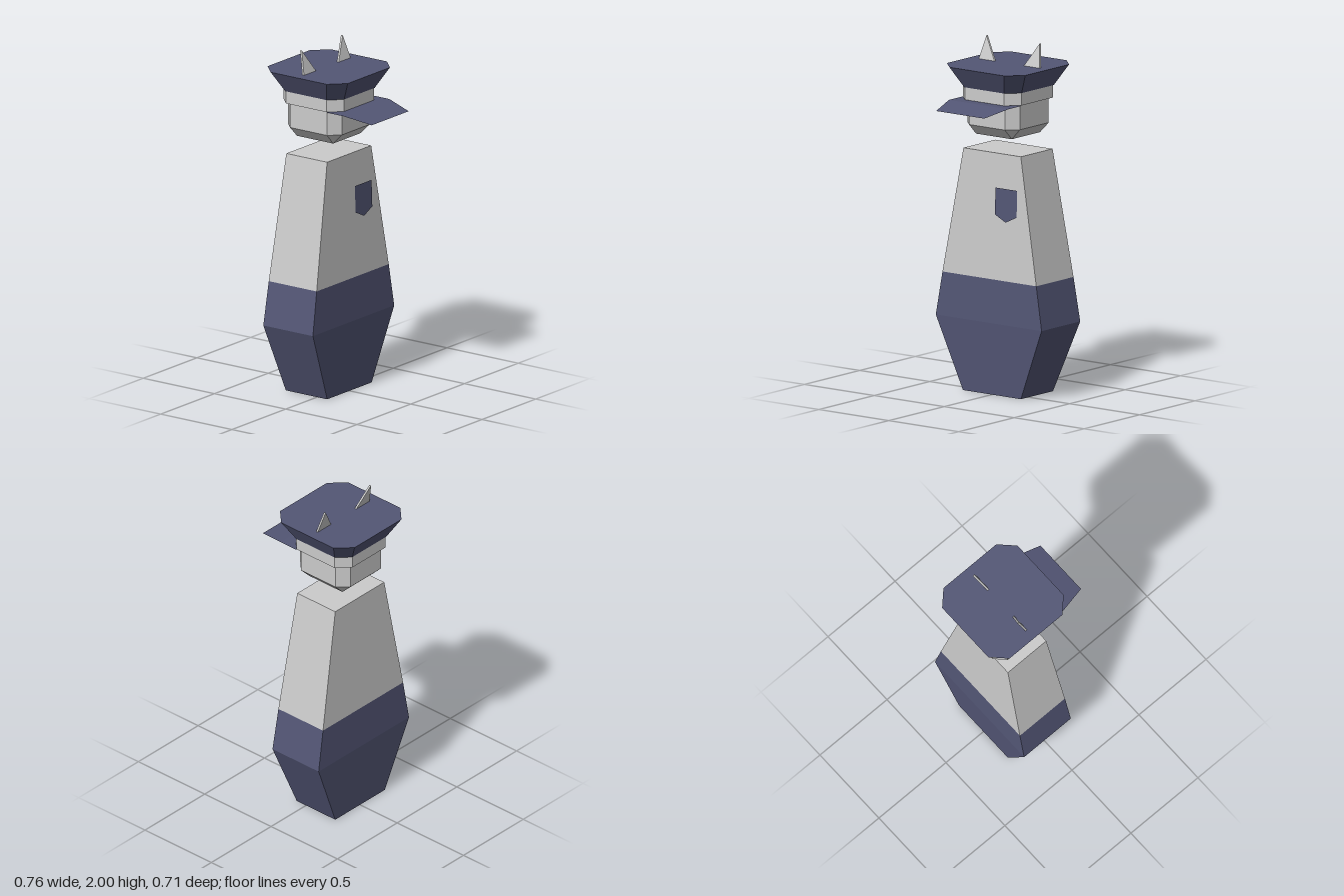
import * as THREE from 'three';

const GREY = 0xcccccc, BLUE = 0x535675;
const CZ = -0.075; // depth centre of body and head

function mesh(name, geometry, color, side = THREE.FrontSide) {
  const m = new THREE.Mesh(geometry, new THREE.MeshStandardMaterial({ color, side, flatShading: true }));
  m.name = name;
  return m;
}

// Rectangle with chamfered corners, counter-clockwise seen from above
function ring([y, hx, hz, c = 0]) {
  const x = hx - c, z = hz - c;
  return [[hx, z], [hx, -z], [x, -hz], [-x, -hz], [-hx, -z], [-hx, z], [-x, hz], [x, hz]]
    .map(([px, pz]) => new THREE.Vector3(px, y, pz + CZ));
}

// Flat-faced geometry from a list of triangles, skipping collapsed ones
function fromTriangles(tris) {
  const pts = tris.filter(([a, b, c]) => new THREE.Triangle(a, b, c).getArea() > 1e-7).flat();
  const g = new THREE.BufferGeometry().setFromPoints(pts);
  g.computeVertexNormals();
  return g;
}

// Skin stacked sections [y, halfWidth, halfDepth, chamfer], bottom to top
function loft(sections, capBottom = true, capTop = true) {
  const rings = sections.map(ring), tris = [];
  for (let k = 0; k < rings.length - 1; k++) {
    const lo = rings[k], up = rings[k + 1];
    for (let i = 0; i < 8; i++) {
      const j = (i + 1) % 8;
      tris.push([lo[i], lo[j], up[j]], [lo[i], up[j], up[i]]);
    }
  }
  const b = rings[0], t = rings[rings.length - 1];
  for (let i = 1; i < 7; i++) {
    if (capBottom) tris.push([b[0], b[i + 1], b[i]]);
    if (capTop) tris.push([t[0], t[i], t[i + 1]]);
  }
  return fromTriangles(tris);
}

function polygon(points) {
  return new THREE.Shape(points.map(([x, y]) => new THREE.Vector2(x, y)));
}

// Apply a rule to each vertex
function reshape(g, rule) {
  const p = g.attributes.position, v = new THREE.Vector3();
  for (let i = 0; i < p.count; i++) {
    rule(v.fromBufferAttribute(p, i));
    p.setXYZ(i, v.x, v.y, v.z);
  }
  g.computeVertexNormals();
  return g;
}

// Pointed ear leaning back; side is +1 for left, -1 for right
function ear(side) {
  const base = 1.868;
  const pts = [[0.105, base], [0.217, base], [0.19, 2]].map(([x, y]) => [x * side, y]);
  const g = new THREE.ExtrudeGeometry(polygon(pts), { depth: 0.012, bevelEnabled: false });
  return reshape(g, v => { v.z += -0.097 - (v.y - base) * 0.27; });
}

// Visor: flat at the band, dipping toward its front edge
function visor() {
  const rows = [[0.212, 1.677, 0.07], [0.212, 1.677, 0.19], [0.172, 1.645, 0.356]]
    .map(([x, y, z]) => [new THREE.Vector3(-x, y, z), new THREE.Vector3(x, y, z)]);
  const tris = [];
  for (let k = 0; k < 2; k++) {
    const [a, b] = rows[k], [c, d] = rows[k + 1];
    tris.push([a, c, d], [a, d, b]);
  }
  return fromTriangles(tris);
}

// Pocket patch lying on the sloping chest
function pocket() {
  const g = new THREE.ShapeGeometry(polygon([[0.035, 1.19], [0.035, 1.037], [0.112, 1], [0.19, 1.037], [0.19, 1.19]]));
  return reshape(g, v => { v.z = 0.1 - (v.y - 0.665) * 0.0347; });
}

export function createModel() {
  const model = new THREE.Group();
  model.name = 'cappedFigure';

  const body = new THREE.Group();
  body.name = 'body';
  body.add(
    mesh('lowerBody', loft([[0, 0.207, 0.145], [0.415, 0.378, 0.174], [0.665, 0.335, 0.168]], true, false), BLUE),
    mesh('upperBody', loft([[0.665, 0.335, 0.168], [1.385, 0.205, 0.143]], false, true), GREY),
    mesh('chestPocket', pocket(), BLUE, THREE.DoubleSide)
  );

  const head = new THREE.Group();
  head.name = 'head';
  head.add(
    mesh('face', loft([[1.473, 0.128, 0.127], [1.535, 0.188, 0.19, 0.06], [1.7, 0.188, 0.19, 0.06]]), GREY),
    mesh('leftEar', ear(1), GREY, THREE.DoubleSide),
    mesh('rightEar', ear(-1), GREY, THREE.DoubleSide)
  );

  const cap = new THREE.Group();
  cap.name = 'cap';
  cap.add(
    mesh('capBand', loft([[1.679, 0.21, 0.213, 0.07], [1.75, 0.21, 0.213, 0.07]], true, false), GREY),
    mesh('capCrown', loft([[1.75, 0.212, 0.215, 0.07], [1.868, 0.28, 0.281, 0.084]]), BLUE),
    mesh('visor', visor(), BLUE, THREE.DoubleSide)
  );

  model.add(body, head, cap);
  return model;
}
